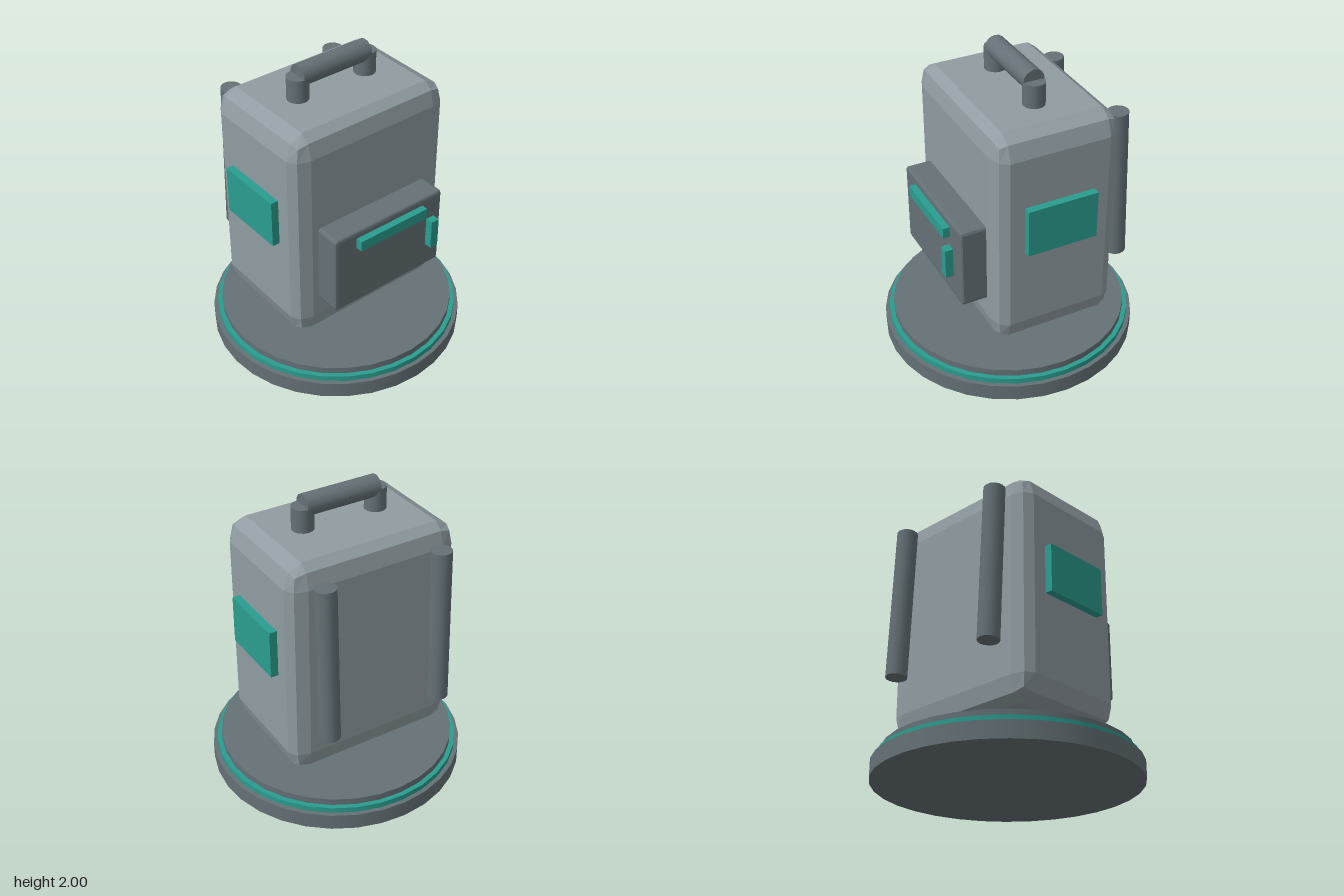
import * as THREE from 'three';
import { RoundedBoxGeometry } from 'three/addons/geometries/RoundedBoxGeometry.js';

export function createModel() {
  const model = new THREE.Group();
  model.name = 'backpackOnStand';

  const paint = (name, color) => {
    const m = new THREE.MeshStandardMaterial({ color });
    m.name = name;
    return m;
  };
  const lightGrey = paint('lightGrey', 0x909ca1);
  const darkGrey = paint('darkGrey', 0x657176);
  const teal = paint('teal', 0x2a9d8f);

  const add = (name, geometry, material, x, y, z) => {
    const mesh = new THREE.Mesh(geometry, material);
    mesh.name = name;
    mesh.position.set(x, y, z);
    model.add(mesh);
    return mesh;
  };
  const cylinder = (r, h, sides) => new THREE.CylinderGeometry(r, r, h, sides);

  // Box with faceted two-step bevels
  const bevelBox = (w, h, d, rx, ry, rz) => {
    const g = new RoundedBoxGeometry(1, 1, 1, 1, 0.1);
    const p = g.attributes.position;
    const size = [w, h, d], bevel = [rx, ry, rz];
    // Keep the bevel profile but fit it to the wanted size on each axis
    for (let i = 0; i < p.count; i++) {
      for (let a = 0; a < 3; a++) {
        const v = p.getComponent(i, a);
        const inset = (0.5 - Math.abs(v)) / 0.1;
        p.setComponent(i, a, Math.sign(v) * (size[a] / 2 - inset * bevel[a]));
      }
    }
    g.computeVertexNormals();
    return g;
  };

  // Round stand with a teal ring
  add('standBase', cylinder(0.835, 0.11, 32), darkGrey, 0, 0.055, 0);
  add('standRing', cylinder(0.807, 0.04, 32), teal, 0, 0.127, 0);
  add('standTop', cylinder(0.776, 0.05, 32), darkGrey, 0, 0.167, 0);

  // Main bag, floating above the stand
  add('body', bevelBox(1.164, 1.48, 0.82, 0.116, 0.148, 0.082), lightGrey, 0, 1.04, -0.05);

  // Front pocket with its zip and pull
  add('frontPocket', bevelBox(0.844, 0.545, 0.22, 0.02, 0.02, 0.012), darkGrey, 0, 0.85, 0.417);
  add('pocketZip', new THREE.BoxGeometry(0.525, 0.07, 0.05), teal, 0, 1.04, 0.547);
  add('zipPull', new THREE.BoxGeometry(0.058, 0.2, 0.052), teal, 0.315, 0.87, 0.571);

  // Carry handle grip
  const grip = add('handleGrip', cylinder(0.07, 0.508, 16), darkGrey, 0, 1.93, -0.04);
  grip.rotation.z = Math.PI / 2;

  // Mirrored parts
  for (const [side, s] of [['left', 1], ['right', -1]]) {
    add(side + 'HandlePost', cylinder(0.07, 0.19, 16), darkGrey, s * 0.255, 1.835, -0.04);
    add(side + 'SidePanel', new THREE.BoxGeometry(0.07, 0.317, 0.466), teal, s * 0.597, 1.145, -0.05);
    const strap = add(side + 'Strap', cylinder(0.068, 1.035, 16), darkGrey, s * 0.4, 1.157, -0.555);
    strap.rotation.x = 0.04;
  }

  return model;
}
